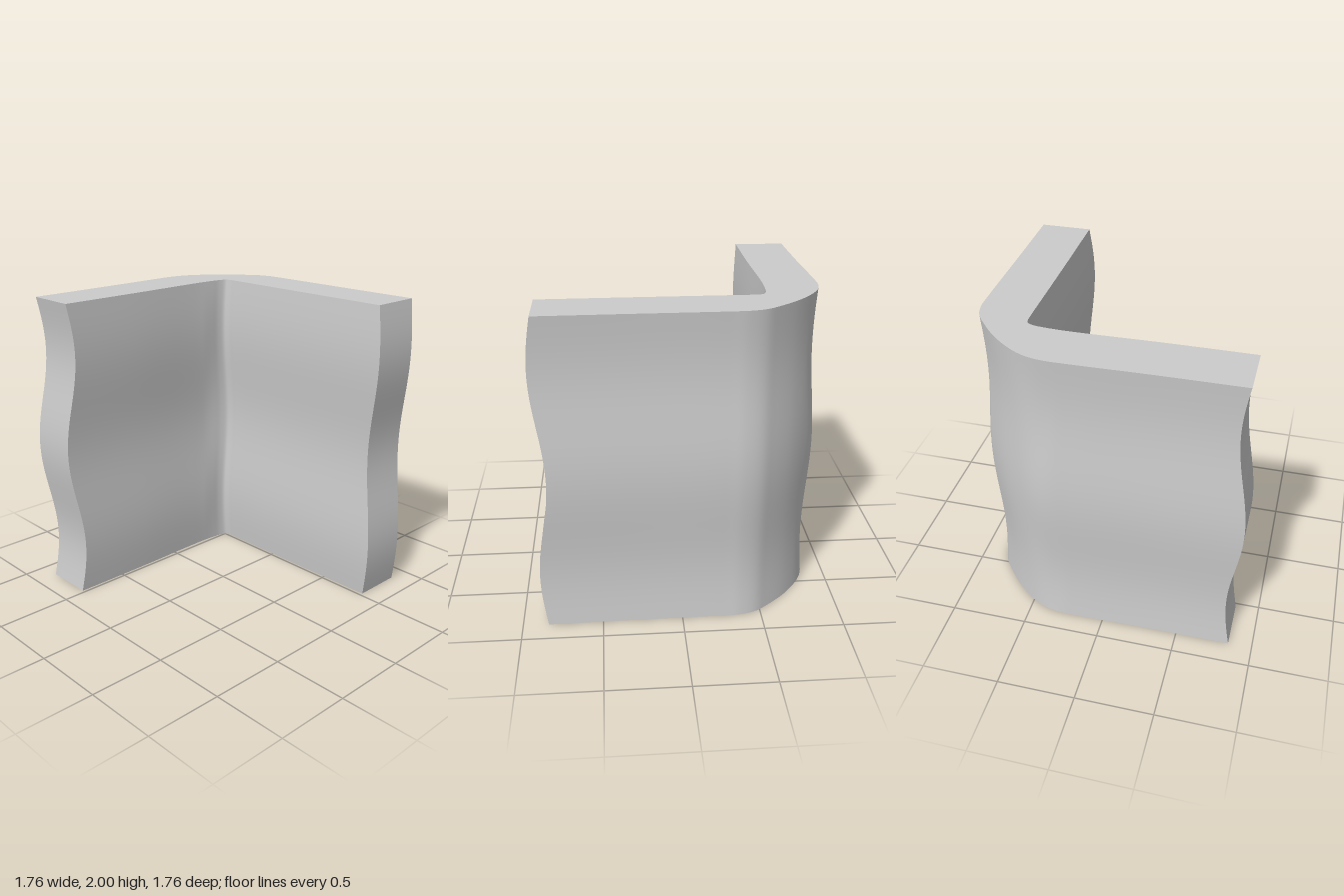
import * as THREE from 'three';

// Plan outline of the angled wall: paired points from the left end, round the corner, to the front end
const curve = (pts) => new THREE.CatmullRomCurve3(pts.map(([x, z]) => new THREE.Vector3(x, 0, z)));
const outer = curve([[-0.847, -0.855], [-0.3, -0.857], [0.15, -0.865], [0.3, -0.863], [0.4, -0.843], [0.5, -0.795],
  [0.64, -0.685], [0.76, -0.55], [0.815, -0.47], [0.843, -0.37], [0.848, -0.25], [0.853, 0.3], [0.86, 0.84]]);
const inner = curve([[-0.847, -0.522], [-0.3, -0.522], [0.15, -0.53], [0.3, -0.529], [0.4, -0.523], [0.46, -0.515],
  [0.502, -0.497], [0.515, -0.465], [0.517, -0.42], [0.518, -0.36], [0.518, -0.25], [0.52, 0.3], [0.525, 0.84]]);

const smooth = THREE.MathUtils.smoothstep;

// Point on the wall: s along the plan, k from inner (0) to outer (1) side, y height, with the wave applied
function wallPoint(s, k, y) {
  const p = inner.getPoint(s).lerp(outer.getPoint(s), k);
  const wave = -Math.sin(1.5 * Math.PI * y);
  const dx = THREE.MathUtils.lerp(-0.038, 0.019, smooth(p.x, -0.85, 0.4));
  const dz = -0.017 * (1 - smooth(p.x, 0.3, 0.55)) - 0.037 * smooth(p.z, -0.4, 0.84);
  return new THREE.Vector3(p.x + dx * wave, y, p.z + dz * wave);
}

// Smooth sheet of nu x nv cells from a point rule on the unit square
function sheet(name, nu, nv, rule, flip) {
  const pos = [], index = [];
  for (let i = 0; i <= nu; i++) {
    for (let j = 0; j <= nv; j++) pos.push(...rule(i / nu, j / nv).toArray());
  }
  for (let i = 0; i < nu; i++) {
    for (let j = 0; j < nv; j++) {
      const a = i * (nv + 1) + j, b = a + nv + 1;
      if (flip) index.push(a, a + 1, b, b, a + 1, b + 1);
      else index.push(a, b, a + 1, b, b + 1, a + 1);
    }
  }
  const geo = new THREE.BufferGeometry();
  geo.setAttribute('position', new THREE.Float32BufferAttribute(pos, 3));
  geo.setIndex(index);
  geo.computeVertexNormals();
  const mesh = new THREE.Mesh(geo, new THREE.MeshStandardMaterial({ color: 0xcccccc }));
  mesh.name = name;
  return mesh;
}

export function createModel() {
  const wall = new THREE.Group();
  wall.name = 'wavyCornerWall';
  const along = 96, up = 64;
  wall.add(
    // Long wavy faces
    sheet('outerFace', along, up, (u, v) => wallPoint(u, 1, 2 * v), true),
    sheet('innerFace', along, up, (u, v) => wallPoint(u, 0, 2 * v), false),
    // Flat top and bottom
    sheet('topFace', along, 1, (u, v) => wallPoint(u, v, 2), false),
    sheet('bottomFace', along, 1, (u, v) => wallPoint(u, v, 0), true),
    // Narrow ends of the two arms
    sheet('leftArmEnd', 1, up, (u, v) => wallPoint(0, u, 2 * v), true),
    sheet('frontArmEnd', 1, up, (u, v) => wallPoint(1, u, 2 * v), false),
  );
  return wall;
}
